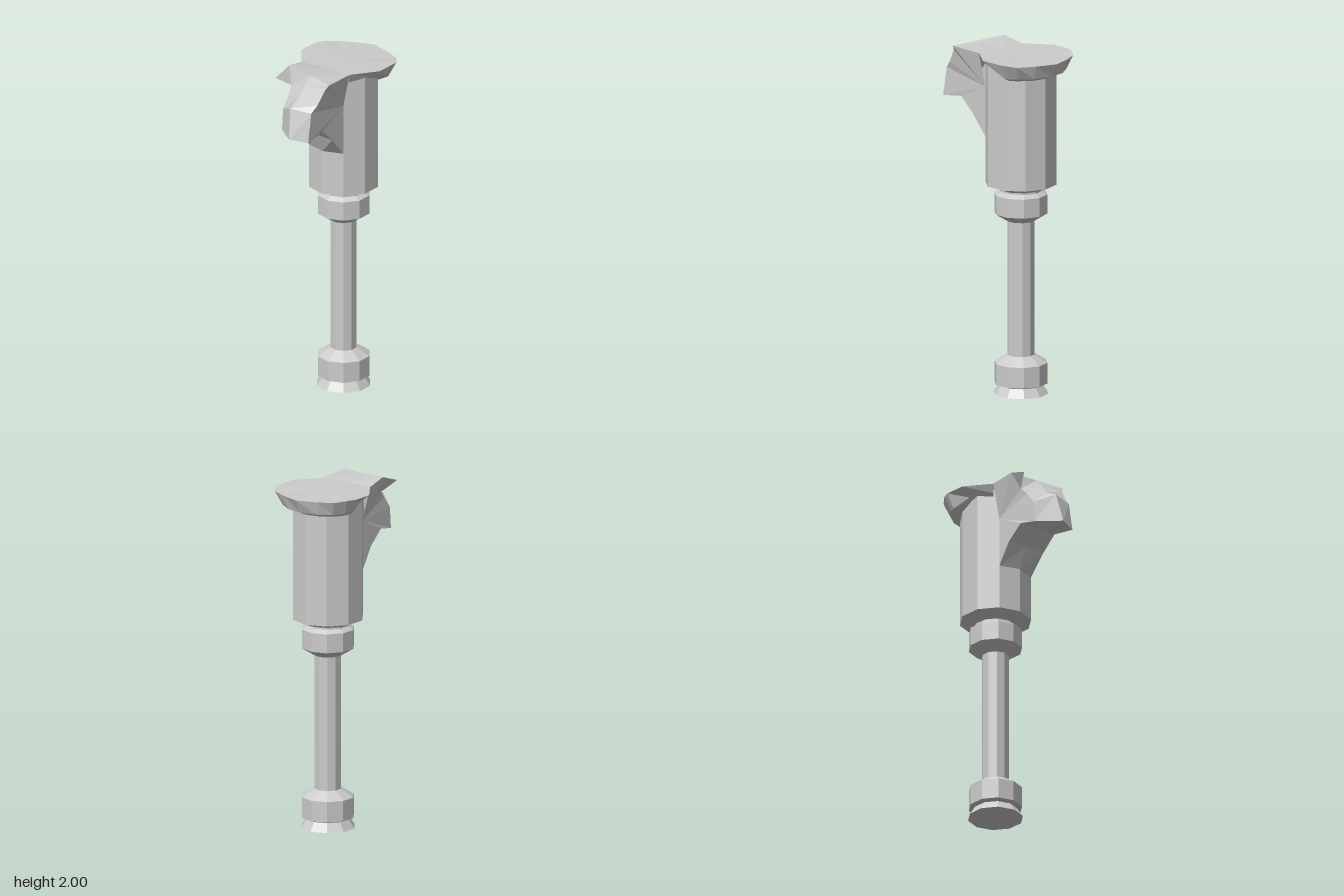
import * as THREE from 'three';

const CZ = -0.13; // depth of the column axis
const solid = new THREE.MeshStandardMaterial({ color: 0xcccccc, flatShading: true });
const thin = new THREE.MeshStandardMaterial({ color: 0xcccccc, flatShading: true, side: THREE.DoubleSide });

// Ten-sided turned part from [radius, height] pairs
function turned(name, profile) {
  const geo = new THREE.LatheGeometry(profile.map(p => new THREE.Vector2(...p)), 10);
  const mesh = new THREE.Mesh(geo, solid);
  mesh.name = name;
  mesh.position.z = CZ;
  return mesh;
}

// Mesh from a list of triangles, each three [x, y, z] corners
function faceted(name, tris) {
  const geo = new THREE.BufferGeometry();
  geo.setAttribute('position', new THREE.Float32BufferAttribute(tris.flat(2), 3));
  geo.computeVertexNormals();
  const mesh = new THREE.Mesh(geo, thin);
  mesh.name = name;
  return mesh;
}

// Triangles joining two polylines of equal length
function strip(a, b) {
  const tris = [];
  for (let i = 0; i < a.length - 1; i++) {
    tris.push([a[i], a[i + 1], b[i]], [a[i + 1], b[i + 1], b[i]]);
  }
  return tris;
}

// Triangles from a hub to each step of a polyline
function fan(hub, line) {
  return line.slice(1).map((p, i) => [hub, p, line[i]]);
}

export function createModel() {
  const model = new THREE.Group();
  model.name = 'pillar';

  // Foot, shaft, collar and barrel
  model.add(turned('foot', [[0, 0], [0.158, 0], [0.125, 0.05], [0.153, 0.06], [0.153, 0.18], [0.08, 0.225], [0, 0.225]]));
  model.add(turned('shaft', [[0.078, 0.215], [0.078, 1.015]]));
  model.add(turned('collar', [[0, 1.005], [0.08, 1.005], [0.153, 1.05], [0.153, 1.16], [0.122, 1.18], [0.122, 1.19], [0.15, 1.21]]));
  model.add(turned('barrel', [[0.12, 1.19], [0.205, 1.22], [0.205, 1.955]]));

  // Cap rim as [x, z], left around the back to right
  const rim = [
    [-0.17, 0.04], [-0.275, -0.105], [-0.275, -0.23], [-0.255, -0.28], [-0.205, -0.34], [-0.115, -0.385],
    [0, -0.425], [0.12, -0.385], [0.22, -0.335], [0.27, -0.265], [0.27, -0.105], [0.165, 0.04],
  ].map(([x, z]) => [x, z < -0.3 ? 1.965 : 1.973, z]);
  const back = z => z < -0.22;
  const inward = (p, r, y) => {
    const dx = p[0], dz = p[2] - CZ, s = r / Math.hypot(dx, dz);
    return [dx * s, y, CZ + dz * s];
  };
  const lip = rim.map(p => inward(p, back(p[2]) ? 0.255 : 0.215, back(p[2]) ? 1.885 : 1.925));
  const neck = rim.map(p => inward(p, 0.195, back(p[2]) ? 1.86 : 1.91));
  model.add(faceted('cap', [
    ...fan([0, 1.973, CZ], [...rim, rim[0]]),
    ...strip(rim, lip),
    ...strip(lip, neck),
  ]));

  // Beak profiles from the crown, over the nose, back to the barrel
  const right = [
    [-0.155, 2.0, 0.175], [-0.115, 1.9, 0.212], [-0.105, 1.86, 0.25], [-0.105, 1.79, 0.305],
    [-0.105, 1.665, 0.315], [-0.115, 1.685, 0.21], [-0.118, 1.605, 0.115], [-0.12, 1.48, 0.036],
  ];
  const middle = [
    [0.01, 1.99, 0.21], [0.01, 1.94, 0.25], [0, 1.88, 0.3], [0, 1.84, 0.38],
    [0.02, 1.67, 0.42], [0, 1.682, 0.222], [0, 1.6, 0.13], [0, 1.48, 0.074],
  ];
  const left = [
    [0.175, 1.98, 0.245], [0.155, 1.95, 0.26], [0.14, 1.87, 0.31], [0.125, 1.83, 0.35],
    [0.125, 1.66, 0.38], [0.12, 1.68, 0.235], [0.12, 1.597, 0.14], [0.12, 1.48, 0.036],
  ];
  const rimRight = rim[0], rimLeft = rim[rim.length - 1];
  model.add(faceted('beak', [
    ...strip(right, middle),
    ...strip(middle, left),
    ...fan([0.12, 1.77, 0.036], [rimLeft, ...left]),
    ...fan([-0.12, 1.77, 0.036], [...right].reverse().concat([rimRight])),
  ]));

  // Crown sloping up from the cap to the beak
  model.add(faceted('crown', [
    ...strip([rimRight, [0, 1.973, 0.04], rimLeft], [right[0], middle[0], left[0]]).map(t => [t[0], t[2], t[1]]),
  ]));

  // Thin spike at the right corner of the crown
  model.add(faceted('spike', [[right[0], [-0.165, 1.96, 0.295], right[1]]]));

  return model;
}
